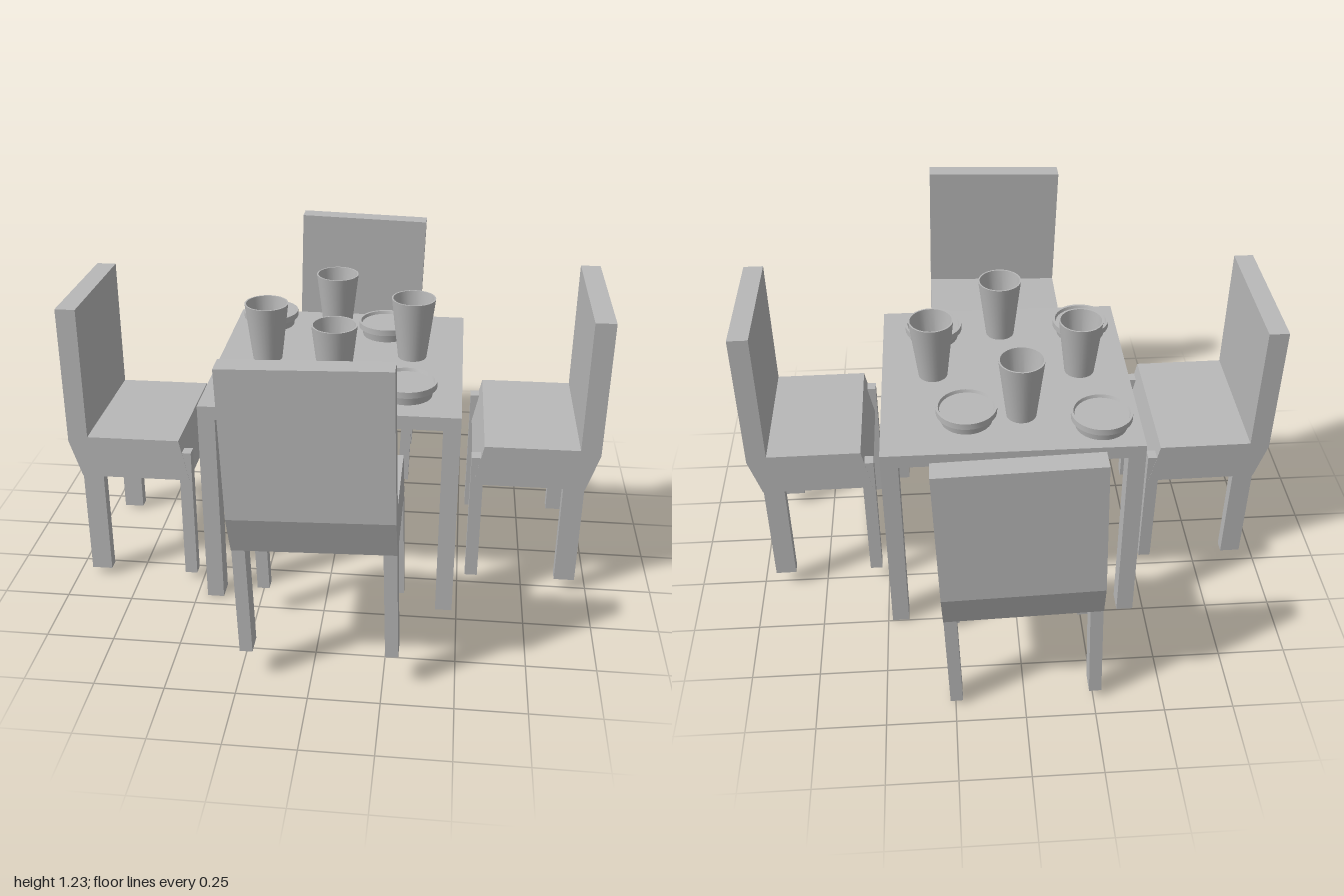
import * as THREE from 'three';
import { toCreasedNormals } from 'three/addons/utils/BufferGeometryUtils.js';

const grey = new THREE.MeshStandardMaterial({ color: 0xb8b8b8 });
grey.name = 'plainGrey';

function add(parent, name, geometry, x = 0, y = 0, z = 0) {
  const mesh = new THREE.Mesh(geometry, grey);
  mesh.name = name;
  mesh.position.set(x, y, z);
  parent.add(mesh);
  return mesh;
}

// Box given by its lower and upper limits
function block(parent, name, x0, x1, y0, y1, z0, z1) {
  const geometry = new THREE.BoxGeometry(x1 - x0, y1 - y0, z1 - z0);
  return add(parent, name, geometry, (x0 + x1) / 2, (y0 + y1) / 2, (z0 + z1) / 2);
}

function turned(points) {
  const profile = points.map(([r, y]) => new THREE.Vector2(r, y));
  return toCreasedNormals(new THREE.LatheGeometry(profile, 32), 0.5);
}

// Chair with its seat front at z = 0 and its back towards +z
function makeChair(name) {
  const chair = new THREE.Group();
  chair.name = name;
  const width = 0.55, half = width / 2, leg = 0.045;

  // Seat and backrest share one side profile
  const profile = new THREE.Shape([
    [0.01, 0.415], [0.045, 0.58], [0.395, 0.58], [0.395, 1.09],
    [0.47, 1.09], [0.47, 0.56], [0.425, 0.415],
  ].map(([d, y]) => new THREE.Vector2(d, y)));
  const body = new THREE.ExtrudeGeometry(profile, { depth: width, bevelEnabled: false });
  body.translate(0, 0, -half);
  body.rotateY(-Math.PI / 2);
  add(chair, 'seatAndBack', body);

  for (const side of [-1, 1]) {
    const x = side * (half - leg / 2 - 0.001);
    block(chair, 'frontLeg', x - leg / 2, x + leg / 2, 0, 0.53, 0, 0.047);
    block(chair, 'rearLeg', x - leg / 2, x + leg / 2, 0, 0.42, 0.345, 0.423);
  }
  return chair;
}

function makeTable() {
  const table = new THREE.Group();
  table.name = 'table';
  const [x0, x1, z0, z1] = [-0.46, 0.483, -0.497, 0.447];
  block(table, 'tableTop', x0, x1, 0.768, 0.82, z0, z1);
  const w = 0.063, d = 0.078;
  for (const x of [x0, x1 - w]) {
    for (const z of [z0, z1 - d]) block(table, 'tableLeg', x, x + w, 0, 0.77, z, z + d);
  }
  return table;
}

export function createModel() {
  const model = new THREE.Group();
  model.name = 'diningSet';
  model.add(makeTable());

  // Four chairs, each leaning a little: x, y, z, turn
  const chairs = [
    ['frontChair', 0.03, 0.13, 0.5, 0],
    ['backChair', -0.005, 0.026, -0.5, Math.PI],
    ['leftChair', 0.527, 0.06, 0.003, Math.PI / 2 + 0.01],
    ['rightChair', -0.527, 0.018, 0.065, -Math.PI / 2 + 0.01],
  ];
  for (const [name, x, y, z, turn] of chairs) {
    const chair = makeChair(name);
    chair.position.set(x, y, z);
    chair.rotation.set(0, turn, 0.03);
    model.add(chair);
  }

  // Shallow rimmed plates
  const plate = turned([
    [0, 0], [0.095, 0], [0.1, 0.03], [0.112, 0.034],
    [0.112, 0.058], [0.103, 0.058], [0.099, 0.046], [0, 0.046],
  ]);
  for (const [x, z] of [[-0.315, -0.36], [0.17, -0.295], [-0.31, 0.262], [0.28, 0.267]]) {
    add(model, 'plate', plate, x, 0.82, z);
  }

  // Tapered open cups: x, rim height, z
  const cup = turned([
    [0, 0], [0.055, 0], [0.084, 0.24], [0.078, 0.24], [0.051, 0.015], [0, 0.015],
  ]);
  const cups = [
    [-0.03, 1.07, -0.295], [-0.275, 1.045, -0.01],
    [0.287, 1.08, -0.03], [0.015, 1.075, 0.252],
  ];
  for (const [x, rim, z] of cups) add(model, 'cup', cup, x, rim - 0.24, z);

  return model;
}
